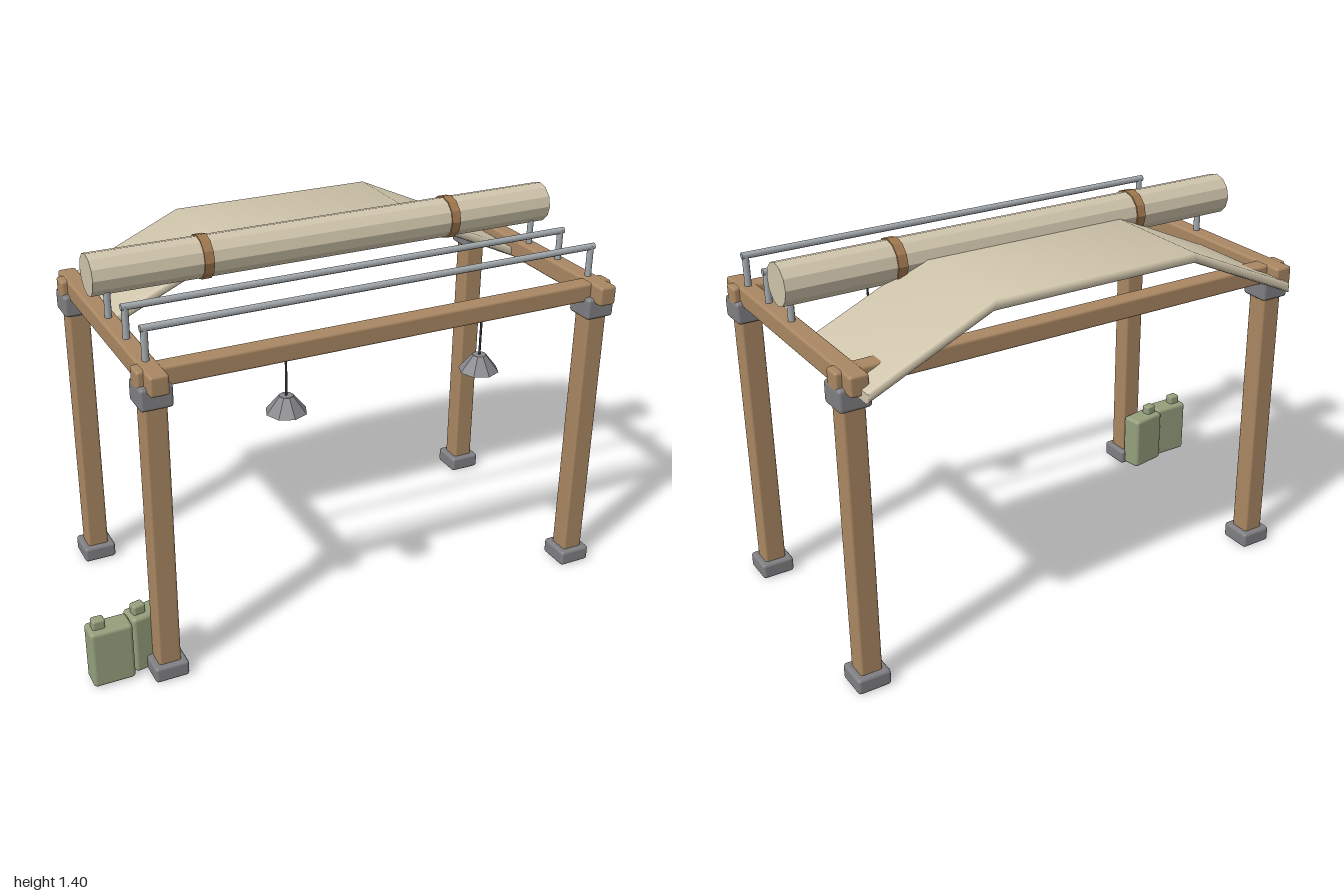
import * as THREE from 'three';
import { toCreasedNormals } from 'three/addons/utils/BufferGeometryUtils.js';
import { RoundedBoxGeometry } from 'three/addons/geometries/RoundedBoxGeometry.js';

const mat = (name, color, side = THREE.FrontSide) => {
  const m = new THREE.MeshStandardMaterial({ color, side });
  m.name = name;
  return m;
};

export function createModel() {
  const root = new THREE.Group();
  root.name = 'canopyFrame';
  const wood = mat('wood', 0xa98762);
  const bracket = mat('bracketGrey', 0x7f7f83);
  const pipe = mat('pipeGrey', 0xa3a9ad);
  const canvas = mat('canvas', 0xcfc4ab);
  const strap = mat('strapBrown', 0x9f774e);
  const green = mat('canGreen', 0x959f7c);
  const cord = mat('cordDark', 0x3b3f43);
  const shade = mat('shadeGrey', 0x86868a, THREE.DoubleSide);
  const bulb = mat('bulbCream', 0xd6c49c);

  const add = (name, geo, material, x = 0, y = 0, z = 0, parent = root) => {
    const m = new THREE.Mesh(geo, material);
    m.name = name;
    m.position.set(x, y, z);
    parent.add(m);
    return m;
  };
  const box = (w, h, d, r = 0.01) => new RoundedBoxGeometry(w, h, d, 2, r);
  // Faceted cylinder with flat sides
  const facet = (rTop, rBottom, h, n, open = false) =>
    toCreasedNormals(new THREE.CylinderGeometry(rTop, rBottom, h, n, 1, open), 0.2);

  const postX = [-0.738, 0.935], postZ = [0.432, -0.387], midX = 0.0985;

  // Posts with feet and top brackets
  for (const x of postX) for (const z of postZ) {
    add('post', box(0.08, 1.1, 0.08), wood, x, 0.56, z);
    add('foot', box(0.123, 0.06, 0.123, 0.012), bracket, x, 0.03, z);
    add('topBracket', box(0.112, 0.08, 0.112, 0.012), bracket, x, 1.082, z);
  }

  // Top beams, crossing at the corners
  for (const z of postZ) add('crossBeam', box(1.783, 0.068, 0.066), wood, midX, 1.138, z - 0.003);
  for (const x of postX) add('sideBeam', box(0.066, 0.071, 1.0), wood, x, 1.139, 0.022);

  // Raised pipe rails
  for (const z of [0.394, 0.209, 0.02]) {
    const rail = new THREE.Group();
    rail.name = 'pipeRail';
    root.add(rail);
    const bar = add('railBar', new THREE.CylinderGeometry(0.012, 0.012, 1.7, 10), pipe, midX, 1.284, z, rail);
    bar.rotation.z = Math.PI / 2;
    for (const x of postX)
      add('railUpright', new THREE.CylinderGeometry(0.012, 0.012, 0.13, 10), pipe, x, 1.222, z, rail);
  }

  // Rolled canvas and its straps
  const roll = add('canvasRoll', facet(0.074, 0.074, 1.783, 12), canvas, midX, 1.322, -0.015);
  roll.rotation.z = Math.PI / 2;
  for (const x of [-0.385, 0.58]) {
    const band = add('rollStrap', facet(0.079, 0.079, 0.035, 12), strap, x, 1.322, -0.015);
    band.rotation.z = Math.PI / 2;
  }

  // Folded canvas sheet over the back half
  const top = [[-0.735, 1.127], [-0.293, 1.327], [0.49, 1.327], [0.932, 1.127]];
  const under = top.map(([x, y]) => [x, y - 0.036]).reverse();
  const sheet = new THREE.Shape([...top, ...under].map(p => new THREE.Vector2(...p)));
  const sheetGeo = new THREE.ExtrudeGeometry(sheet, {
    depth: 0.447, bevelThickness: 0.014, bevelSize: 0.014, bevelOffset: -0.014, bevelSegments: 3,
  });
  add('canvasSheet', toCreasedNormals(sheetGeo, 0.6), canvas, 0, 0, -0.504);

  // Hanging lamps
  for (const x of [-0.275, 0.47]) {
    const lamp = new THREE.Group();
    lamp.name = 'hangingLamp';
    lamp.position.set(x, 0, 0.43);
    root.add(lamp);
    add('lampCord', new THREE.CylinderGeometry(0.004, 0.004, 0.15, 6), cord, 0, 1.04, 0, lamp);
    add('lampShade', facet(0.025, 0.072, 0.058, 8, true), shade, 0, 0.94, 0, lamp);
    add('shadeTop', facet(0.025, 0.025, 0.006, 8), shade, 0, 0.967, 0, lamp);
    add('lampBulb', facet(0.034, 0.034, 0.04, 8), bulb, 0, 0.914, 0, lamp);
  }

  // Fuel cans by the front post
  for (const [x, z, turn] of [[-0.924, 0.387, 0], [-0.775, 0.356, 0.17]]) {
    const can = new THREE.Group();
    can.name = 'fuelCan';
    can.position.set(x, 0, z);
    can.rotation.y = turn;
    root.add(can);
    add('canBody', box(0.15, 0.222, 0.085, 0.014), green, 0, 0.114, 0, can);
    add('canCap', box(0.045, 0.045, 0.038, 0.008), green, -0.036, 0.236, 0, can);
  }
  return root;
}
